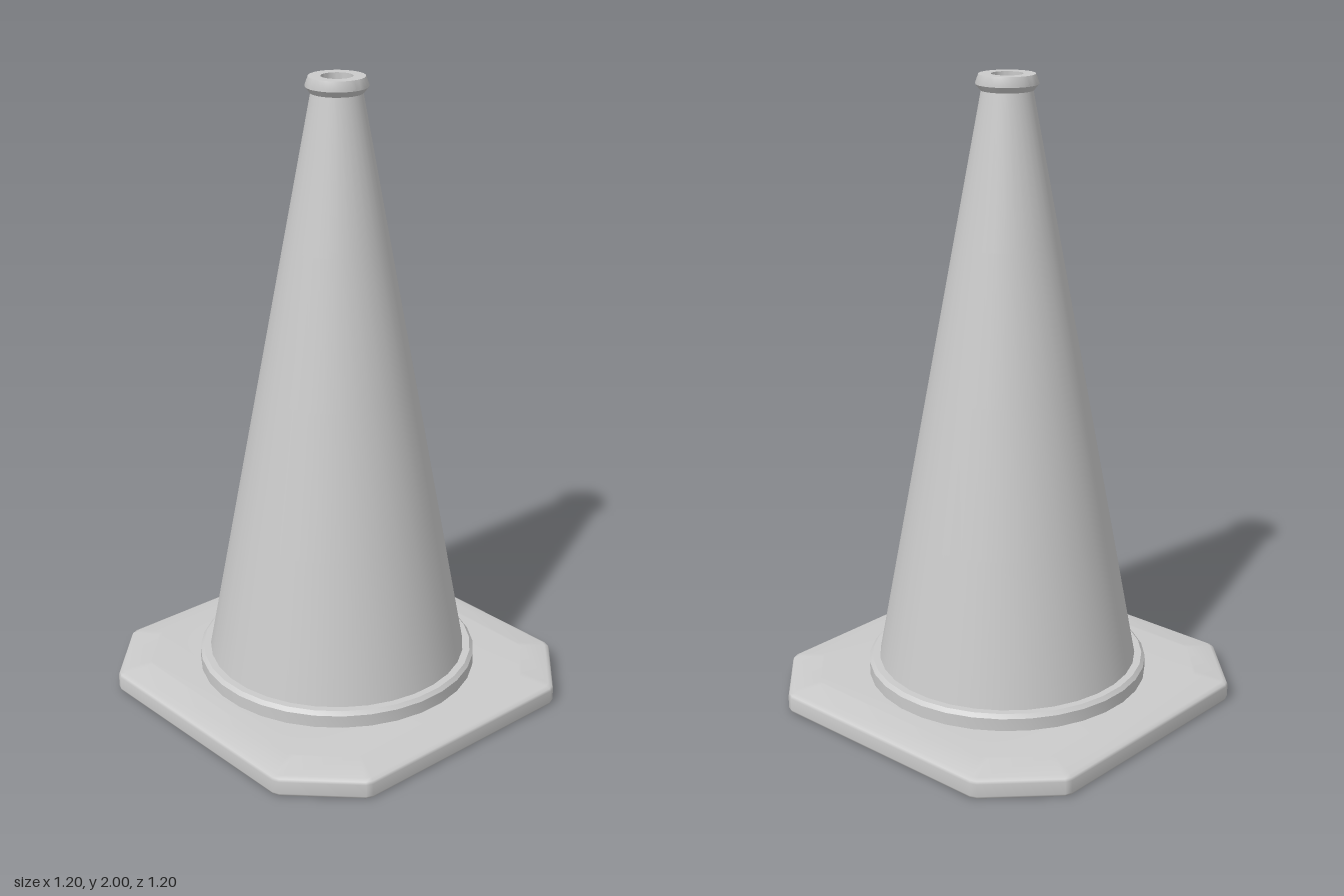
import * as THREE from 'three';
import { mergeGeometries, mergeVertices, toCreasedNormals } from 'three/addons/utils/BufferGeometryUtils.js';

const SIDES = 32;
const OPENING = 0.38;

export function createModel() {
  const group = new THREE.Group();
  const plasticGrey = new THREE.MeshStandardMaterial({ color: 0xcacaca });

  const add = (name, geometry) => {
    const mesh = new THREE.Mesh(geometry, plasticGrey);
    mesh.name = name;
    group.add(mesh);
  };

  // Turned part from [radius, y] pairs, with a flat side facing the front
  const lathe = (profile) => {
    const points = profile.map(([r, y]) => new THREE.Vector2(r / Math.cos(Math.PI / SIDES), y));
    return new THREE.LatheGeometry(points, SIDES, Math.PI / SIDES);
  };

  // Square with cut, slightly rounded corners, inset evenly from its outer edge
  const octagon = (inset) => {
    const a = 0.6 - inset;
    const b = 0.4 - inset * Math.tan(Math.PI / 8);
    const corners = [[a, -b], [a, b], [b, a], [-b, a], [-a, b], [-a, -b], [-b, -a], [b, -a]]
      .map(([x, z]) => new THREE.Vector2(x, z));
    return corners.flatMap((corner, i) => [corners[(i + 7) % 8], corners[(i + 1) % 8]].map((next) =>
      corner.clone().add(next.clone().sub(corner).setLength(0.012))));
  };

  // Flat face of the base with a round opening; side is 1 for up, -1 for down
  const baseFace = (inset, y, side) => {
    const outline = new THREE.Shape(octagon(inset));
    const r = OPENING / Math.cos(Math.PI / SIDES);
    outline.holes.push(new THREE.Path(Array.from({ length: SIDES }, (_, i) => {
      const angle = ((i + 0.5) / SIDES) * Math.PI * 2;
      return new THREE.Vector2(r * Math.cos(angle), r * Math.sin(angle));
    })));
    const face = new THREE.ShapeGeometry(outline).rotateX(-side * Math.PI / 2).translate(0, y, 0);
    face.deleteAttribute('normal');
    face.deleteAttribute('uv');
    return face;
  };

  // Base plate: stacked octagons with softened edges and a gently sloped top
  const sections = [[0.01, 0], [0.003, 0.003], [0, 0.01], [0, 0.05], [0.004, 0.058], [0.016, 0.064], [0.1, 0.078]];
  const positions = [];
  const index = [];
  sections.forEach(([inset, y], row) => {
    const ring = octagon(inset);
    for (const p of ring) positions.push(p.x, y, p.y);
    if (row === 0) return;
    const n = ring.length;
    for (let i = 0; i < n; i++) {
      const j = (i + 1) % n;
      const low = (row - 1) * n;
      const high = row * n;
      index.push(low + i, high + i, low + j, low + j, high + i, high + j);
    }
  });
  const edge = new THREE.BufferGeometry();
  edge.setAttribute('position', new THREE.Float32BufferAttribute(positions, 3));
  edge.setIndex(index);
  const plate = mergeVertices(mergeGeometries([edge, baseFace(0.01, 0, -1), baseFace(0.1, 0.078, 1)]));
  plate.computeVertexNormals();
  add('basePlate', plate);

  // Recess in the underside
  add('recessWall', lathe([[OPENING, 0.19], [OPENING, 0]]));
  add('recessCeiling', lathe([[0, 0.19], [OPENING, 0.19]]));

  // Collar around the foot of the cone
  add('collar', toCreasedNormals(lathe([[0.447, 0.07], [0.447, 0.118], [0.436, 0.13], [0.4, 0.13]]), 0.6));

  // Tapered body
  add('coneBody', lathe([[0.414, 0.125], [0.33, 0.581], [0.246, 1.037], [0.162, 1.494], [0.077, 1.955]]));

  // Top rim with a narrow hole
  add('topRim', toCreasedNormals(lathe([
    [0.07, 1.952], [0.08, 1.952], [0.094, 1.97], [0.094, 1.975], [0.085, 2],
    [0.048, 2], [0.048, 1.94], [0, 1.94],
  ]), 0.4));

  return group;
}
